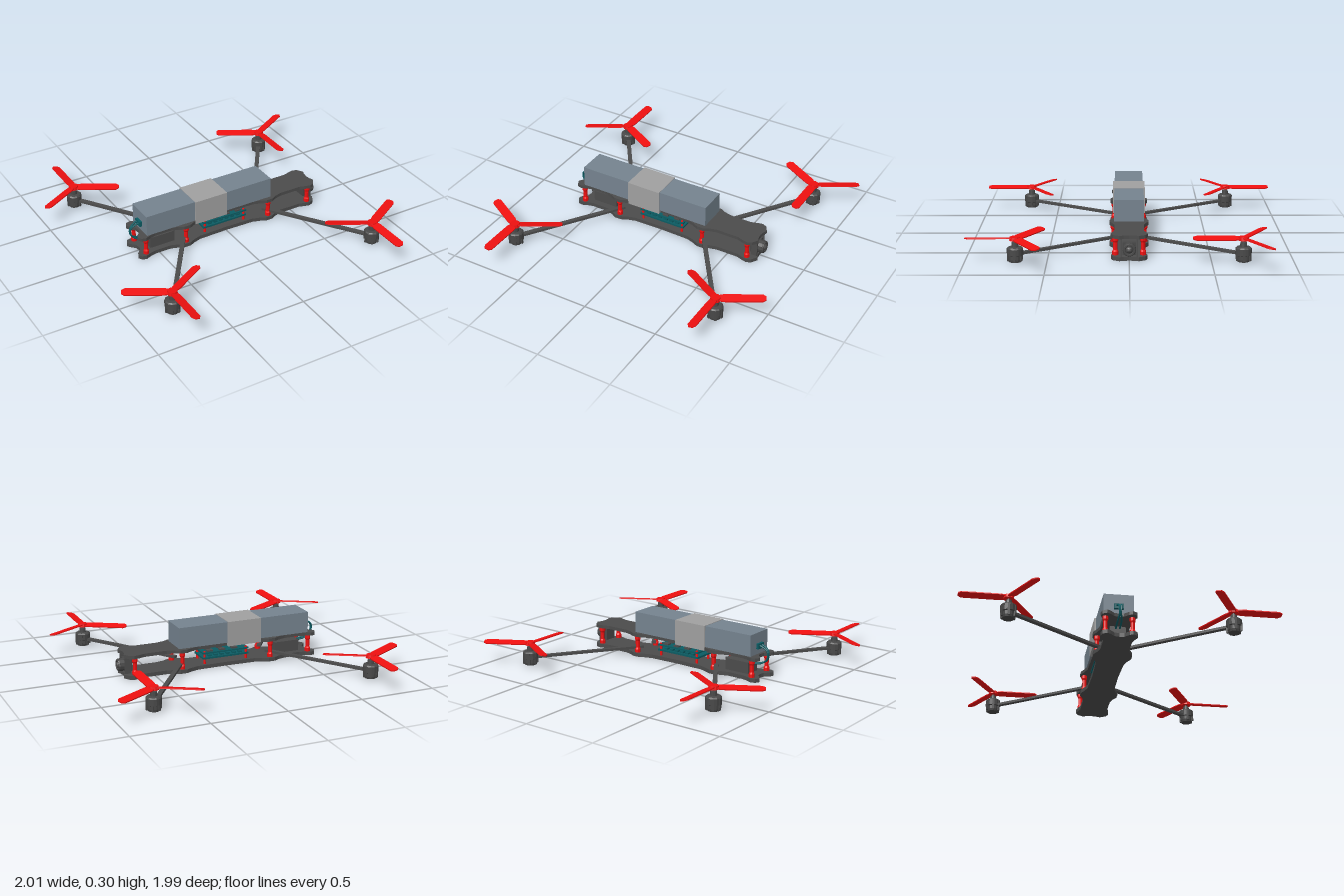
import * as THREE from 'three';

const mat = (color) => new THREE.MeshStandardMaterial({ color, flatShading: true });
const carbon = mat(0x4c4c4c), red = mat(0xee1010), teal = mat(0x0b5c63);
const packGrey = mat(0x75838f), strapGrey = mat(0xa0a0a0), motorGrey = mat(0x484848);

function add(parent, name, geo, material, x = 0, y = 0, z = 0) {
  const m = new THREE.Mesh(geo, material);
  m.name = name;
  m.position.set(x, y, z);
  parent.add(m);
  return m;
}

// Flat shape in plan (x, z) extruded upwards
function slab(shape, height, steps = 6) {
  const g = new THREE.ExtrudeGeometry(shape, { depth: height, bevelEnabled: false, curveSegments: steps });
  return g.rotateX(-Math.PI / 2);
}

// Symmetric body plate: waisted, with flares at the arms and lobes at both ends
function plateShape() {
  const half = [[-0.605, 0], [-0.61, 0.03], [-0.64, 0.06], [-0.65, 0.08], [-0.635, 0.108], [-0.605, 0.115],
    [-0.57, 0.1], [-0.53, 0.09], [-0.42, 0.09], [-0.37, 0.105], [-0.335, 0.124], [-0.29, 0.124],
    [-0.25, 0.105], [-0.2, 0.09], [0, 0.085], [0.2, 0.09], [0.25, 0.105], [0.29, 0.124], [0.335, 0.124],
    [0.37, 0.105], [0.42, 0.092], [0.57, 0.092], [0.61, 0.105], [0.645, 0.113], [0.675, 0.1],
    [0.7, 0.06], [0.69, 0.035], [0.685, 0]];
  const upper = half.slice(1, -1).reverse().map(([x, z]) => [x, -z]);
  return new THREE.Shape([...half, ...upper].map(([x, z]) => new THREE.Vector2(x, z)).reverse());
}

// Spool-like spacer, wider at the ends
function spacer(r, h) {
  const p = [[0, 0], [r, 0], [r, h * 0.2], [r * 0.72, h * 0.3], [r * 0.72, h * 0.7], [r, h * 0.8], [r, h], [0, h]];
  return new THREE.LatheGeometry(p.map(([a, b]) => new THREE.Vector2(a, b)), 8);
}

function propeller(spin) {
  const g = new THREE.Group();
  g.name = 'propeller';
  add(g, 'propellerHub', new THREE.CylinderGeometry(0.03, 0.034, 0.022, 12), red);
  const blade = new THREE.Shape([[0.01, -0.02], [0.05, -0.028], [0.285, -0.028], [0.305, -0.014],
    [0.305, 0.014], [0.285, 0.028], [0.05, 0.028], [0.01, 0.02]].map(([x, y]) => new THREE.Vector2(x, y)));
  for (let i = 0; i < 3; i++) {
    const arm = new THREE.Group();
    arm.rotation.y = i * Math.PI * 2 / 3;
    add(arm, 'blade', slab(blade, 0.007), red, 0, -0.003, 0).rotation.x = 0.2 * spin;
    g.add(arm);
  }
  return g;
}

function motor() {
  const g = new THREE.Group();
  g.name = 'motor';
  const p = [[0, 0.01], [0.038, 0.01], [0.042, 0.025], [0.042, 0.048], [0.05, 0.052], [0.05, 0.092],
    [0.043, 0.1], [0.022, 0.103], [0.02, 0.13], [0.009, 0.132], [0.009, 0.155], [0, 0.155]];
  add(g, 'motorBody', new THREE.LatheGeometry(p.map(([a, b]) => new THREE.Vector2(a, b)), 12), motorGrey);
  // Ribs around the bell
  for (let i = 0; i < 6; i++) {
    const a = i * Math.PI / 3;
    add(g, 'motorRib', new THREE.BoxGeometry(0.012, 0.075, 0.014), motorGrey,
      Math.cos(a) * 0.044, 0.055, Math.sin(a) * 0.044).rotation.y = -a;
  }
  return g;
}

export function createModel() {
  const model = new THREE.Group();
  model.name = 'quadcopter';

  // Body plates
  add(model, 'bottomPlate', slab(plateShape(), 0.025), carbon);
  add(model, 'topPlate', slab(plateShape(), 0.022), carbon, 0, 0.137, 0);

  // Spacers between the plates
  for (const s of [-1, 1])
    for (const [x, z] of [[-0.595, 0.085], [-0.31, 0.098], [0.315, 0.098], [0.635, 0.085]])
      add(model, 'plateSpacer', spacer(0.019, 0.114), red, x, 0.024, s * z);

  // Arms, motors and propellers at the four corners
  for (const sx of [-1, 1]) for (const sz of [-1, 1]) {
    const start = new THREE.Vector3(sx * 0.3, 0.057, sz * 0.055);
    const end = new THREE.Vector3(sx * 0.735, 0.057, sz * 0.69);
    const dir = end.clone().sub(start), mid = start.clone().add(end).multiplyScalar(0.5);
    const arm = add(model, 'arm', new THREE.BoxGeometry(0.028, 0.016, dir.length()), carbon, mid.x, mid.y, mid.z);
    arm.rotation.y = Math.atan2(dir.x, dir.z);
    const m = motor();
    m.position.set(end.x, 0, end.z);
    model.add(m);
    const spin = sx * sz;
    const prop = propeller(spin);
    prop.position.set(end.x, 0.153, end.z);
    // One rear propeller is turned to point backwards
    prop.rotation.y = sx < 0 && sz < 0 ? Math.PI / 2 : -Math.PI / 2;
    model.add(prop);
  }

  // Battery and strap
  add(model, 'battery', new THREE.BoxGeometry(0.925, 0.14, 0.19), packGrey, -0.1275, 0.229, 0);
  add(model, 'batteryStrap', new THREE.BoxGeometry(0.235, 0.166, 0.21), strapGrey, -0.1225, 0.219, 0);

  // Battery lead looping down between the plates
  for (const z of [-0.012, 0.012]) {
    const path = new THREE.CatmullRomCurve3([[-0.58, 0.22], [-0.625, 0.21], [-0.66, 0.18], [-0.655, 0.13],
      [-0.615, 0.1], [-0.53, 0.085]].map(([x, y]) => new THREE.Vector3(x, y, z * (x < -0.64 ? 0.4 : 1))));
    add(model, 'batteryLead', new THREE.TubeGeometry(path, 20, 0.006, 6), teal);
  }
  add(model, 'leadPlug', new THREE.BoxGeometry(0.03, 0.035, 0.06), teal, -0.592, 0.212, 0);

  // Receiver box
  add(model, 'receiver', new THREE.BoxGeometry(0.175, 0.075, 0.1), carbon, -0.457, 0.0625, 0);

  // Stacked circuit boards with small parts
  const stack = new THREE.Group();
  stack.name = 'circuitStack';
  model.add(stack);
  add(stack, 'lowerBoard', new THREE.BoxGeometry(0.325, 0.012, 0.15), teal, -0.002, 0.064, 0);
  add(stack, 'upperBoard', new THREE.BoxGeometry(0.325, 0.01, 0.15), teal, -0.002, 0.098, 0);
  for (const x of [-0.15, 0.145]) for (const z of [-0.062, 0.062])
    add(stack, 'boardPost', new THREE.CylinderGeometry(0.008, 0.008, 0.085, 8), red, x, 0.0665, z);
  for (let i = 0; i < 6; i++) for (const z of [-0.05, 0, 0.05]) {
    add(stack, 'lowerChip', new THREE.BoxGeometry(0.026, 0.012, 0.026), teal, -0.11 + i * 0.043, 0.076, z);
    if (i % 2) add(stack, 'upperChip', new THREE.BoxGeometry(0.04, 0.01, 0.03), carbon, -0.11 + i * 0.043, 0.108, z);
  }

  // Nose camera between two side brackets
  const camera = new THREE.Group();
  camera.name = 'camera';
  camera.position.set(0.68, 0.075, 0);
  model.add(camera);
  add(camera, 'cameraBody', new THREE.BoxGeometry(0.05, 0.08, 0.08), motorGrey, -0.02, 0, 0);
  add(camera, 'lensBarrel', new THREE.CylinderGeometry(0.042, 0.042, 0.035, 12).rotateZ(Math.PI / 2), motorGrey, 0.018, 0, 0);
  add(camera, 'lensRing', new THREE.TorusGeometry(0.032, 0.009, 6, 12).rotateY(Math.PI / 2), motorGrey, 0.037, 0, 0);
  add(camera, 'lens', new THREE.SphereGeometry(0.024, 12, 8), carbon, 0.03, 0, 0);
  for (const s of [-1, 1])
    add(camera, 'cameraBracket', new THREE.BoxGeometry(0.04, 0.114, 0.01), carbon, -0.01, 0.006, s * 0.048);

  return model;
}
